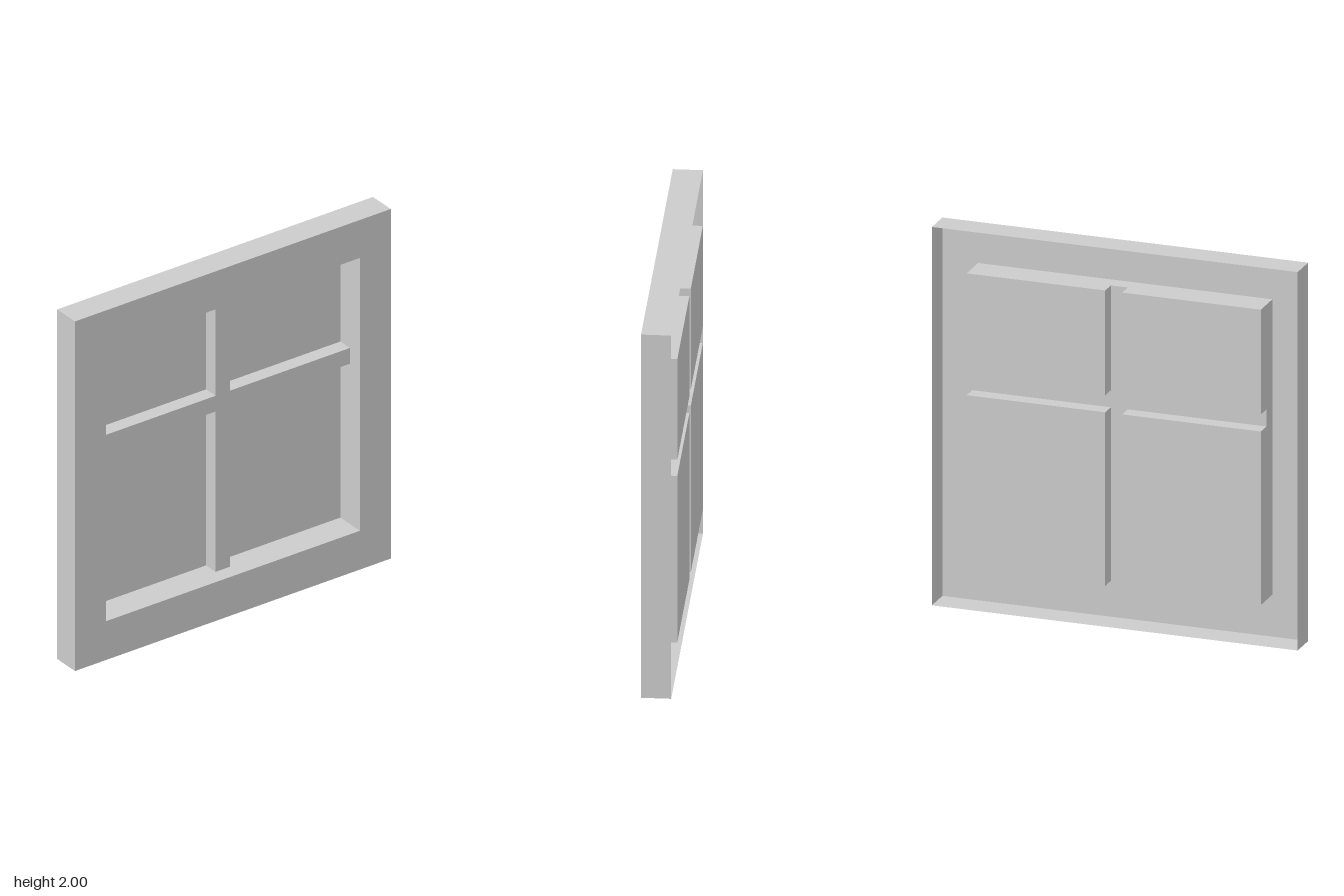
import * as THREE from 'three';

const material = new THREE.MeshStandardMaterial({ color: 0xcccccc, side: THREE.DoubleSide, flatShading: true });

// Depths of the pressed sheet, front to back
const FRONT = 0.083, BAR = -0.002, SKIRT = -0.068, PANE = -0.083;

// Rectangles as [x0, y0, x1, y1]
const OUTER = [-0.972, 0, 0.972, 2];
const OPENING = [-0.782, 0.222, 0.782, 1.783];
const BAR_X = 0.045, BAR_Y0 = 1.139, BAR_Y1 = 1.229;

const corners = ([x0, y0, x1, y1]) =>
  [[x0, y0], [x1, y0], [x1, y1], [x0, y1]].map(([x, y]) => new THREE.Vector2(x, y));

function addMesh(parent, name, geometry) {
  const mesh = new THREE.Mesh(geometry, material);
  mesh.name = name;
  parent.add(mesh);
  return mesh;
}

// Flat sheet at depth z, with rectangular holes
function addSheet(parent, name, rect, z, holes = []) {
  const shape = new THREE.Shape(corners(rect));
  holes.forEach(h => shape.holes.push(new THREE.Path(corners(h).reverse())));
  addMesh(parent, name, new THREE.ShapeGeometry(shape)).position.z = z;
}

// Four thin walls around a rectangle, from depth zFront to zBack
function addWalls(parent, name, rect, zFront, zBack) {
  const points = corners(rect);
  const positions = [];
  points.forEach((a, i) => {
    const b = points[(i + 1) % 4];
    positions.push(
      a.x, a.y, zBack, b.x, b.y, zBack, b.x, b.y, zFront,
      a.x, a.y, zBack, b.x, b.y, zFront, a.x, a.y, zFront);
  });
  const geometry = new THREE.BufferGeometry();
  geometry.setAttribute('position', new THREE.Float32BufferAttribute(positions, 3));
  geometry.computeVertexNormals();
  addMesh(parent, name, geometry);
}

export function createModel() {
  const model = new THREE.Group();
  model.name = 'windowPanel';

  // Frame: flat face, outer skirt open at the back, and opening reveal
  const frame = new THREE.Group();
  frame.name = 'frame';
  addSheet(frame, 'frameFace', OUTER, FRONT, [OPENING]);
  addWalls(frame, 'outerSkirt', OUTER, FRONT, SKIRT);
  addWalls(frame, 'openingReveal', OPENING, FRONT, BAR);
  model.add(frame);

  // The four panes, on either side of the crossing bars
  const [x0, y0, x1, y1] = OPENING;
  const panes = [];
  for (const [left, right] of [[x0, -BAR_X], [BAR_X, x1]])
    for (const [bottom, top] of [[y0, BAR_Y0], [BAR_Y1, y1]])
      panes.push([left, bottom, right, top]);

  // Bars: a cross of thin strips set back from the frame face
  const cross = new THREE.Shape([
    [-BAR_X, y0], [BAR_X, y0], [BAR_X, BAR_Y0], [x1, BAR_Y0], [x1, BAR_Y1], [BAR_X, BAR_Y1],
    [BAR_X, y1], [-BAR_X, y1], [-BAR_X, BAR_Y1], [x0, BAR_Y1], [x0, BAR_Y0], [-BAR_X, BAR_Y0],
  ].map(([x, y]) => new THREE.Vector2(x, y)));
  addMesh(model, 'glazingBars', new THREE.ShapeGeometry(cross)).position.z = BAR;

  // Each pane is a shallow tray pushed out at the back
  panes.forEach((rect, i) => {
    const pane = new THREE.Group();
    pane.name = `pane${i + 1}`;
    addWalls(pane, 'paneSides', rect, BAR, PANE);
    addSheet(pane, 'paneSheet', rect, PANE);
    model.add(pane);
  });

  return model;
}
